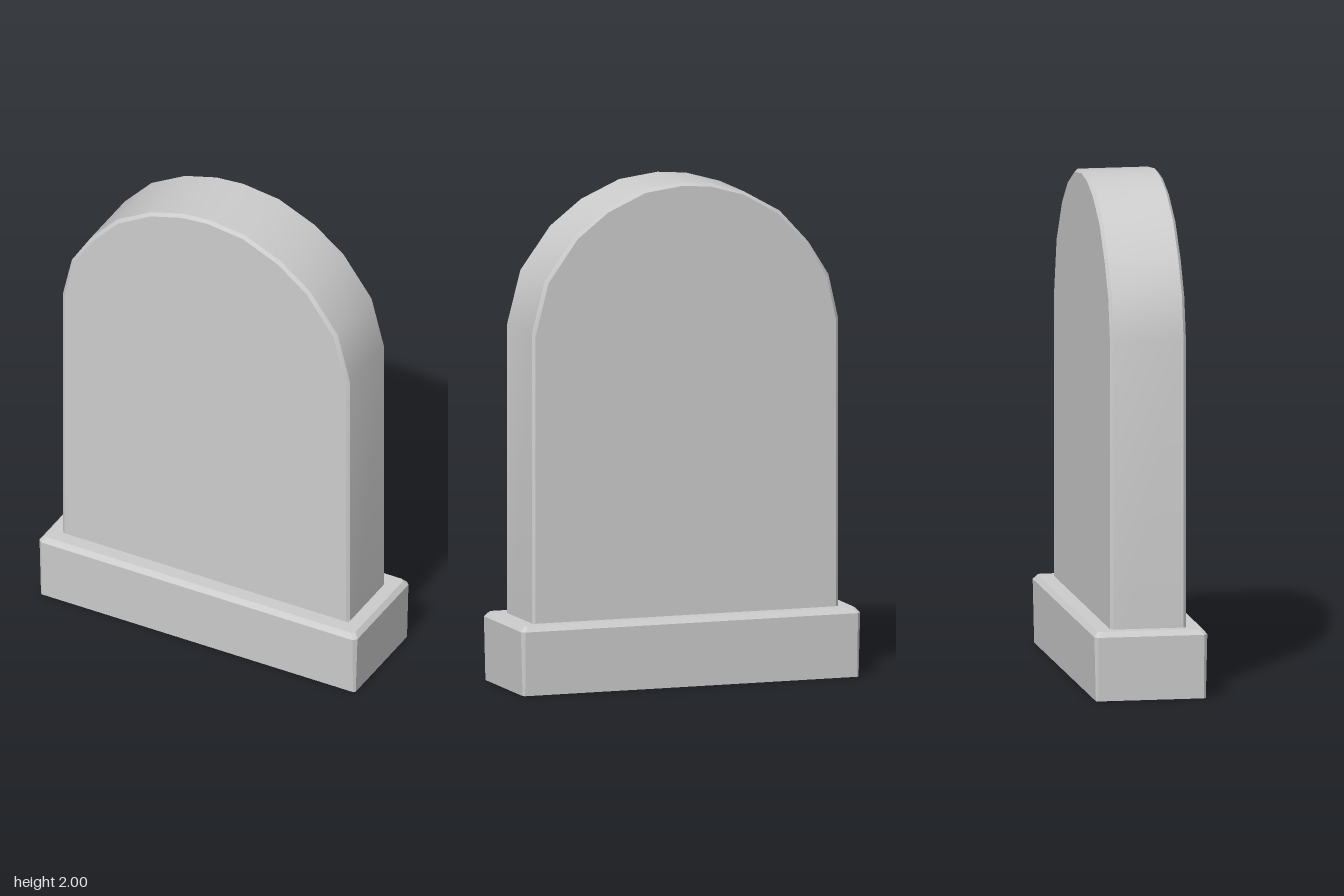
import * as THREE from 'three';
import { toCreasedNormals } from 'three/addons/utils/BufferGeometryUtils.js';

// Skin a strip of quads over a list of cross-sections (arrays of [x, y, z])
function loft(sections) {
  const n = sections[0].length;
  const index = [];
  for (let i = 0; i < sections.length - 1; i++) {
    for (let j = 0; j < n - 1; j++) {
      const a = i * n + j, b = a + 1, d = a + n, c = d + 1;
      index.push(a, b, d, b, c, d);
    }
  }
  const geometry = new THREE.BufferGeometry();
  geometry.setAttribute('position', new THREE.Float32BufferAttribute(sections.flat(2), 3));
  geometry.setIndex(index);
  return toCreasedNormals(geometry, 0.55);
}

// Closed rectangle with clipped corners at height y
function rectSection(hx, hz, y, clip) {
  const points = [
    [hx - clip, y, hz], [hx, y, hz - clip], [hx, y, -hz + clip], [hx - clip, y, -hz],
    [-hx + clip, y, -hz], [-hx, y, -hz + clip], [-hx, y, hz - clip], [-hx + clip, y, hz],
  ];
  return [...points, points[0]];
}

export function createModel() {
  const group = new THREE.Group();
  const stone = new THREE.MeshStandardMaterial({ color: 0xcccccc, side: THREE.DoubleSide });
  stone.name = 'grey stone';

  const add = (name, geometry, parent) => {
    const mesh = new THREE.Mesh(geometry, stone);
    mesh.name = name;
    parent.add(mesh);
    return mesh;
  };

  // Arched slab outline, hand-cut and slightly uneven, open at the bottom
  const outline = [
    [0.64, 0], [0.64, 1.43], [0.585, 1.64], [0.46, 1.81], [0.33, 1.91], [0.17, 1.98],
    [0.01, 2], [-0.11, 1.99], [-0.25, 1.95], [-0.4, 1.865], [-0.52, 1.735],
    [-0.605, 1.6], [-0.645, 1.425], [-0.645, 0],
  ];
  const inset = outline.map(([x, y]) => [x * 0.981, y * 0.994]);
  const atZ = (points, z) => points.map(([x, y]) => [x, y, z]);

  const slab = new THREE.Group();
  slab.name = 'slab';
  group.add(slab);
  add('slabEdge', loft([
    atZ(inset, -0.152), atZ(outline, -0.14), atZ(outline, 0.14), atZ(inset, 0.152),
  ]), slab);

  // Flat faces
  const face = new THREE.ShapeGeometry(
    new THREE.Shape(inset.map(([x, y]) => new THREE.Vector2(x, y))));
  add('slabFront', face, slab).position.z = 0.152;
  const back = face.clone().scale(-1, 1, -1);
  // Turn the outline back to its own side after facing it rearwards
  const position = back.getAttribute('position');
  for (let i = 0; i < position.count; i++) position.setX(i, -position.getX(i));
  const order = back.getIndex();
  for (let i = 0; i < order.count; i += 3) {
    const first = order.getX(i);
    order.setX(i, order.getX(i + 2));
    order.setX(i + 2, first);
  }
  back.computeVertexNormals();
  add('slabBack', back, slab).position.z = -0.152;

  // Plinth: hollow below, bevelled along the top, with a ledge running in to the slab
  add('plinth', loft([
    rectSection(0.705, 0.22, 0, 0.008),
    rectSection(0.712, 0.226, 0.255, 0.015),
    rectSection(0.695, 0.209, 0.275, 0.012),
    rectSection(0.64, 0.15, 0.275, 0.001),
  ]), group);

  return group;
}
